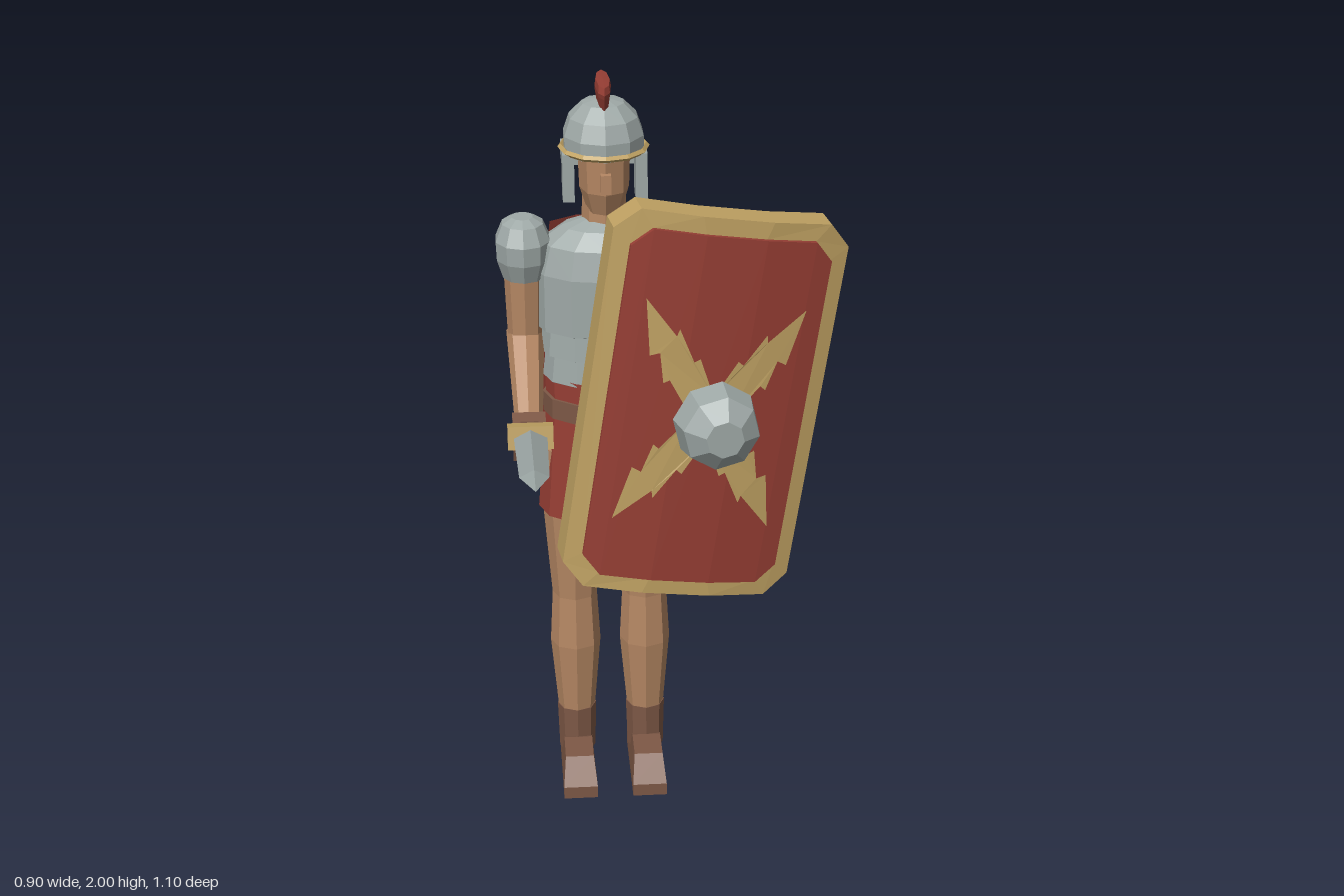
import * as THREE from 'three';

const material = (name, color) => {
  const m = new THREE.MeshStandardMaterial({ color, side: THREE.DoubleSide });
  m.name = name;
  return m;
};

export function createModel() {
  const skin = material('skin', 0xb58763);
  const steel = material('steel', 0x9fa9a7);
  const red = material('red cloth', 0x963e34);
  const gold = material('gold', 0xc0a263);
  const brown = material('brown leather', 0x7d5846);

  const root = new THREE.Group();
  root.name = 'shieldBearer';
  const body = new THREE.Group();
  body.name = 'body';
  body.position.set(-0.167, 0, -0.37);
  root.add(body);

  // Faceted mesh helper
  function add(parent, name, geo, mat, x = 0, y = 0, z = 0) {
    const g = geo.index ? geo.toNonIndexed() : geo;
    g.computeVertexNormals();
    const mesh = new THREE.Mesh(g, mat);
    mesh.name = name;
    mesh.position.set(x, y, z);
    parent.add(mesh);
    return mesh;
  }
  const lathe = (profile, sides, sx = 1, sz = 1) =>
    new THREE.LatheGeometry(profile.map(([r, y]) => new THREE.Vector2(r, y)), sides).scale(sx, 1, sz);
  const box = (w, h, d) => new THREE.BoxGeometry(w, h, d);
  function limb(parent, name, a, b, ra, rb, mat) {
    const from = new THREE.Vector3(...a), to = new THREE.Vector3(...b);
    const dir = to.clone().sub(from);
    const mesh = add(parent, name, new THREE.CylinderGeometry(rb, ra, dir.length(), 8), mat);
    mesh.position.copy(from).add(to).multiplyScalar(0.5);
    mesh.quaternion.setFromUnitVectors(new THREE.Vector3(0, 1, 0), dir.normalize());
  }

  // Head and helmet
  add(body, 'neck', new THREE.CylinderGeometry(0.055, 0.062, 0.16, 8), skin, 0, 1.64, -0.01);
  add(body, 'head', lathe([[0, 1.65], [0.045, 1.66], [0.064, 1.72], [0.068, 1.84]], 8, 1, 1.35), skin, 0, 0, 0.01);
  add(body, 'nose', box(0.026, 0.05, 0.03), skin, 0, 1.755, 0.1);
  add(body, 'helmetDome', lathe([[0.106, 1.815], [0.106, 1.86], [0.09, 1.905], [0.055, 1.94], [0, 1.952]], 10, 1, 1.13), steel);
  add(body, 'browBand', new THREE.TorusGeometry(0.11, 0.008, 4, 12).rotateX(Math.PI / 2).scale(1, 1, 1.1), gold, 0, 1.824, 0);
  add(body, 'neckGuard', box(0.213, 0.04, 0.1), steel, 0, 1.78, -0.092);
  for (const s of [-1, 1])
    add(body, 'cheekGuard', box(0.03, 0.125, 0.075), steel, s * 0.093, 1.76, 0.032);
  add(body, 'crest', lathe([[0.07, -0.035], [0.095, 0], [0.1, 0.012], [0.085, 0.028], [0, 0.03]], 8, 0.21, 1), red, 0, 1.97, 0);

  // Armoured torso with overlapping bands
  add(body, 'cuirass', lathe([[0.15, 1.19], [0.168, 1.2], [0.16, 1.27], [0.176, 1.275], [0.17, 1.34], [0.186, 1.345],
    [0.186, 1.5], [0.165, 1.575], [0.11, 1.615], [0.05, 1.635]], 12, 1, 0.72), steel);
  add(body, 'tunicWaist', new THREE.CylinderGeometry(0.162, 0.162, 0.08, 12, 1, true).scale(1, 1, 0.76), red, 0, 1.17, 0);
  add(body, 'belt', new THREE.CylinderGeometry(0.17, 0.17, 0.055, 12).scale(1, 1, 0.77), brown, 0, 1.125, 0);
  add(body, 'skirt', new THREE.CylinderGeometry(0.164, 0.188, 0.285, 12, 1, true).scale(1, 1, 0.76), red, 0, 0.957, 0);
  add(body, 'hips', lathe([[0.11, 0.86], [0.186, 0.94], [0.188, 1.0], [0.15, 1.08]], 10, 1, 0.62), skin);

  // Foot outline, seen from the side, toe towards +z
  function footGeometry() {
    const outline = [[-0.085, 0], [0.2, 0], [0.2, 0.035], [0.15, 0.105], [0.05, 0.108], [-0.085, 0.055]];
    const shape = new THREE.Shape(outline.map(([z, y]) => new THREE.Vector2(z, y)));
    const geo = new THREE.ExtrudeGeometry(shape, { depth: 0.13, bevelEnabled: false });
    geo.translate(0, 0, -0.065).rotateY(-Math.PI / 2);
    const p = geo.attributes.position;
    for (let i = 0; i < p.count; i++) {
      const top = p.getY(i) > 0.06 ? 0.6 : 1;
      const end = p.getZ(i) > 0.18 || p.getZ(i) < -0.05 ? 0.72 : 1;
      p.setX(i, p.getX(i) * top * end);
    }
    return geo;
  }

  // Arms and legs on both sides
  for (const s of [-1, 1]) {
    const lx = s * 0.096, ax = s * 0.212;
    add(body, 'leg', lathe([[0.048, 0.15], [0.052, 0.2], [0.069, 0.4], [0.061, 0.55], [0.08, 0.8], [0.082, 0.95]], 8, 1, 1.03), skin, lx);
    add(body, 'bootShaft', new THREE.CylinderGeometry(0.054, 0.05, 0.14, 8), brown, lx, 0.125, 0);
    add(body, 'boot', footGeometry(), brown, lx);
    add(body, 'shoulderGuard', lathe([[0.056, 1.48], [0.072, 1.53], [0.074, 1.58], [0.055, 1.625], [0.028, 1.64], [0, 1.64]], 10, 1, 1.22), steel, ax);
    limb(body, 'upperArm', [ax, 1.29, 0], [ax, 1.52, 0], 0.045, 0.053, skin);
    limb(body, 'forearm', [ax, 1.32, -0.015], [ax, 1.135, 0.185], 0.05, 0.036, skin);
    add(body, 'hand', box(0.086, 0.1, 0.075), brown, ax, 1.12, 0.225).rotation.x = 0.25;
  }

  // Cape: a folded cloth sheet, rows run from shoulder to hem
  const cape = new THREE.PlaneGeometry(1, 1, 4, 3);
  const cp = cape.attributes.position;
  const rows = [[1.6, 0.14, -0.095], [1.4, 0.16, -0.128], [1.12, 0.18, -0.15], [0.91, 0.2, -0.155]];
  const folds = [0.025, -0.02, -0.012, 0.0, 0.03];
  for (let r = 0; r < 4; r++) for (let c = 0; c < 5; c++) {
    const [y, half, z] = rows[r];
    cp.setXYZ(r * 5 + c, (c / 2 - 1) * half, y - (r === 3 ? 0.01 * c - 0.02 : 0), z + folds[c]);
  }
  add(body, 'cape', cape, red);

  // Short sword
  const sword = new THREE.Group();
  sword.name = 'sword';
  sword.position.set(-0.378, 1.165, -0.045);
  sword.rotation.x = -0.21;
  root.add(sword);
  add(sword, 'blade', lathe([[0.043, 0], [0.036, 0.46], [0, 0.61]], 4, 1, 0.5).rotateX(Math.PI / 2), steel);
  add(sword, 'crossGuard', box(0.116, 0.06, 0.05), gold);
  add(sword, 'grip', box(0.046, 0.042, 0.13), brown, 0, 0, -0.075);

  // Curved shield with cut corners
  const shield = new THREE.Group();
  shield.name = 'shield';
  shield.position.set(0.073, 1.18, -0.162);
  shield.rotation.set(0, 0.13, -0.158);
  root.add(shield);
  const bend = x => -0.47 * x * x;
  const columns = (w, h, cut) => [-w, cut - w, -0.3 * w, 0.3 * w, w - cut, w]
    .map((x, i) => [x, i === 0 || i === 5 ? h - cut : h]);
  const outline = cols => [...cols.map(([x, y]) => [x, -y]), ...cols.slice().reverse()];
  const outer = columns(0.308, 0.525, 0.06), inner = columns(0.263, 0.48, 0.05);
  function surface(rings, closed) {
    const pos = [];
    const n = rings[0].length, count = closed ? rings.length : rings.length - 1;
    for (let r = 0; r < count; r++) for (let i = 0; i < (closed ? n : n - 1); i++) {
      const a = rings[r][i], b = rings[r][(i + 1) % n];
      const next = rings[(r + 1) % rings.length], c = next[(i + 1) % n], d = next[i];
      pos.push(...a, ...b, ...c, ...a, ...c, ...d);
    }
    return new THREE.BufferGeometry().setAttribute('position', new THREE.Float32BufferAttribute(pos, 3));
  }
  const at = (pts, z) => pts.map(([x, y]) => [x, y, z + bend(x)]);
  const o = outline(outer), n = outline(inner);
  add(shield, 'shieldRim', surface([at(n, 0.045), at(n, -0.045), at(o, -0.045), at(o, 0.045)], true), gold);
  const lower = inner.map(([x, y]) => [x, -y]);
  add(shield, 'shieldFace', surface([at(lower, 0.058), at(inner, 0.058)], false), red);
  add(shield, 'shieldFaceEdge', surface([at(n, 0.03), at(n, 0.058)], true), red);
  add(shield, 'shieldBack', surface([at(inner, -0.052), at(lower, -0.052)], false), brown);
  add(shield, 'shieldBackEdge', surface([at(n, -0.052), at(n, -0.03)], true), brown);

  // Jagged four-armed emblem, mirrored from one quarter
  const quarter = [[0.05, 0], [0.12, 0.095], [0.135, 0.085], [0.155, 0.165], [0.18, 0.155], [0.21, 0.305],
    [0.12, 0.215], [0.115, 0.235], [0.065, 0.15], [0.05, 0.16], [0, 0.06]];
  const flip = (sx, sy) => quarter.map(([x, y]) => new THREE.Vector2(x * sx, y * sy));
  const emblemShape = new THREE.Shape([...flip(1, 1), ...flip(-1, 1).reverse().slice(1),
    ...flip(-1, -1).slice(1), ...flip(1, -1).reverse().slice(1, -1)]);
  const emblem = new THREE.ShapeGeometry(emblemShape);
  const ep = emblem.attributes.position;
  for (let i = 0; i < ep.count; i++) ep.setZ(i, 0.077 + bend(ep.getX(i)));
  add(shield, 'shieldEmblem', emblem, gold);
  add(shield, 'shieldBoss', lathe([[0, 0], [0.113, 0], [0.1, 0.075], [0.05, 0.118], [0, 0.118]], 8)
    .rotateX(Math.PI / 2), steel, 0.01, 0, 0.098);

  return root;
}
